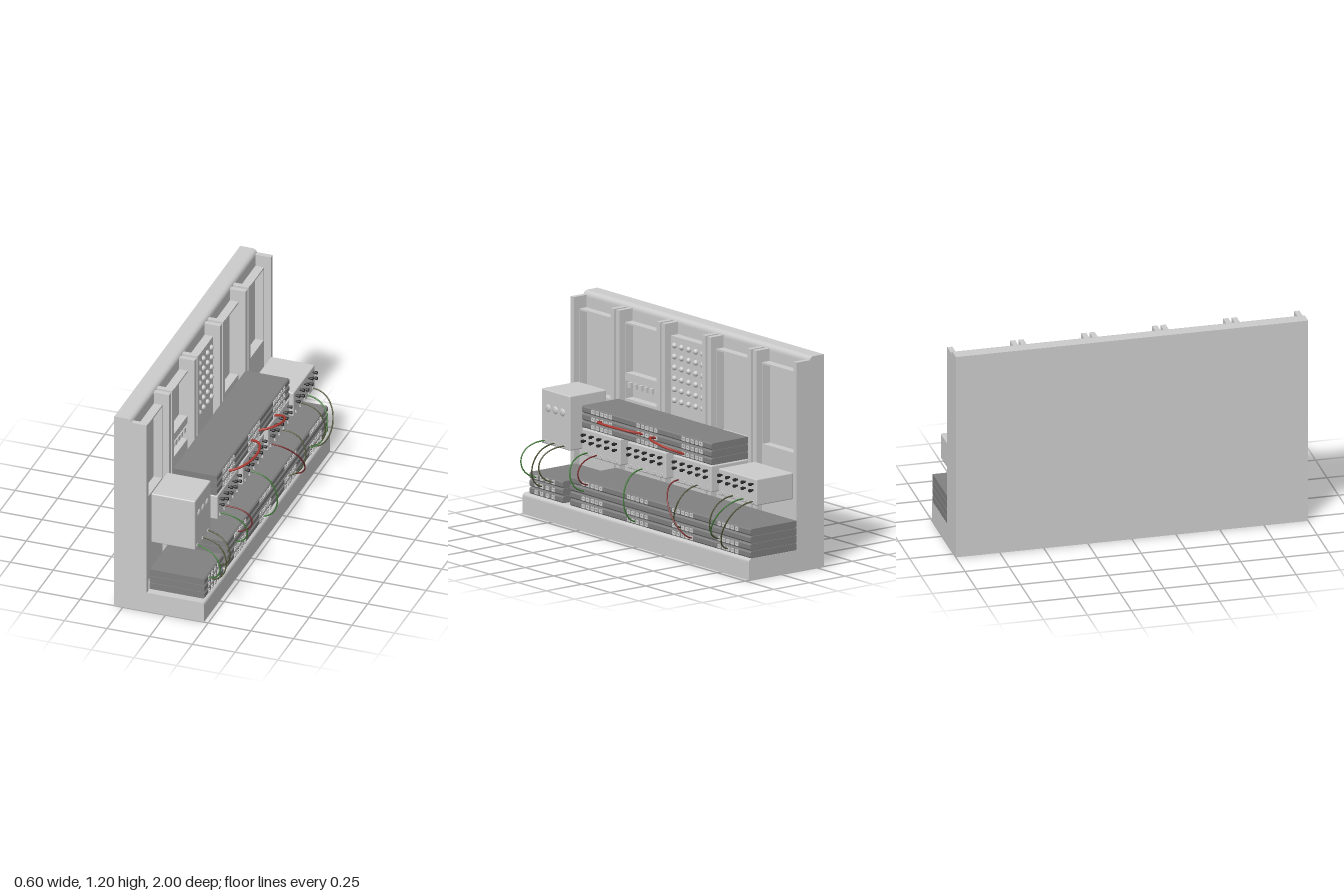
import * as THREE from 'three';
import { RoundedBoxGeometry } from 'three/addons/geometries/RoundedBoxGeometry.js';

export function createModel() {
  const root = new THREE.Group();
  root.name = 'equipmentConsole';
  const mat = (color) => new THREE.MeshStandardMaterial({ color });
  const grey = mat(0xcccccc), dark = mat(0x808080), black = mat(0x2a2a2a);
  const red = mat(0xb03c34), green = mat(0x3f7a36), darkRed = mat(0x7a2a2a), olive = mat(0x4c5434);

  const add = (name, geo, material, x = 0, y = 0, z = 0, parent = root) => {
    const m = new THREE.Mesh(geo, material);
    m.name = name;
    m.position.set(x, y, z);
    parent.add(m);
    return m;
  };
  // box given by its extents, rounded when r > 0
  const box = (name, x0, x1, y0, y1, z0, z1, material = grey, r = 0, parent = root) => {
    const s = [x1 - x0, y1 - y0, z1 - z0];
    const g = r ? new RoundedBoxGeometry(...s, 2, r) : new THREE.BoxGeometry(...s);
    return add(name, g, material, (x0 + x1) / 2, (y0 + y1) / 2, (z0 + z1) / 2, parent);
  };
  const group = (name) => {
    const g = new THREE.Group();
    g.name = name;
    root.add(g);
    return g;
  };
  const rectPath = (P, a, b, c, d) => {
    const p = new P();
    p.moveTo(a, c); p.lineTo(b, c); p.lineTo(b, d); p.lineTo(a, d); p.closePath();
    return p;
  };

  // L-shaped back wall and base with rounded front corners
  const L = new THREE.Shape();
  L.moveTo(-0.3, 0); L.lineTo(0.225, 0); L.lineTo(0.225, 0.1);
  L.quadraticCurveTo(0.225, 0.12, 0.203, 0.12);
  L.lineTo(-0.2, 0.12); L.lineTo(-0.2, 1.168);
  L.quadraticCurveTo(-0.2, 1.2, -0.235, 1.2);
  L.lineTo(-0.3, 1.2); L.closePath();
  add('wallAndBase', new THREE.ExtrudeGeometry(L, { depth: 2, bevelEnabled: false, curveSegments: 8 }), grey, 0, 0, -1);

  // five wall bays: two pillars and a face plate with recessed windows
  const windows = [[[0.65, 1.1]], [[0.825, 1.1], [0.68, 0.78]], [], [[0.65, 1.1]], [[0.65, 1.1]]];
  const bayZ = (i) => 0.807 - i * 0.4035;
  windows.forEach((list, i) => {
    const g = group('wallBay' + (i + 1)), c = bayZ(i), h = 0.193, w = 0.163;
    for (const s of [-1, 1]) {
      const a = c + s * h, b = c + s * w;
      box('pillar', -0.205, -0.11, 0.115, 1.18, Math.min(a, b), Math.max(a, b), grey, 0, g);
    }
    const shape = rectPath(THREE.Shape, -w, w, 0.115, 1.11);
    for (const [y0, y1] of list) shape.holes.push(rectPath(THREE.Path, -w + 0.005, w - 0.005, y0, y1));
    const geo = new THREE.ExtrudeGeometry(shape, { depth: 0.055, bevelEnabled: false });
    geo.rotateY(Math.PI / 2);
    add('facePlate', geo, grey, -0.205, 0, c, g);
  });

  // row of small tabs in the second bay
  const tabs = group('tabs');
  for (let i = 0; i < 6; i++) {
    const z = 0.525 - i * 0.0465;
    box('tab', -0.2, -0.145, 0.745, 0.775, z - 0.014, z + 0.014, grey, 0, tabs);
  }

  // grid of domed buttons in the third bay
  const buttons = group('buttonGrid');
  const dome = new THREE.SphereGeometry(0.016, 14, 10);
  for (let r = 0; r < 6; r++)
    for (let c = 0; c < 5; c++)
      add('button', dome, grey, -0.148, 1.06 - r * 0.062, 0.128 - c * 0.063, buttons);

  // flat rack units stacked with narrow gaps and a chamfered front
  const stack = (name, xf, y0, n, z0, z1) => {
    const g = group(name), p = 0.0425, c = 0.007, h = 0.038;
    const s = new THREE.Shape();
    s.moveTo(-0.11, 0); s.lineTo(xf - c, 0); s.lineTo(xf, c);
    s.lineTo(xf, h - c); s.lineTo(xf - c, h); s.lineTo(-0.11, h); s.closePath();
    const geo = new THREE.ExtrudeGeometry(s, { depth: z1 - z0, bevelEnabled: false });
    for (let i = 0; i < n; i++) {
      add('rackUnit', geo, dark, 0, y0 + i * p, z0, g);
      if (i) box('spacer', -0.105, xf - 0.012, y0 + i * p - 0.006, y0 + i * p + 0.001, z0 + 0.005, z1 - 0.005, dark, 0, g);
    }
    return g;
  };
  const smallRack = stack('smallRack', 0.213, 0.121, 3, 0.66, 0.955);
  const longRack = stack('longRack', 0.213, 0.121, 4, -1, 0.595);
  const upperRack = stack('upperRack', 0.146, 0.557, 3, -0.57, 0.577);

  // square jacks with a round hole
  const jackShape = rectPath(THREE.Shape, -0.013, 0.013, -0.011, 0.011);
  jackShape.holes.push(new THREE.Path().absarc(0, 0, 0.006, 0, Math.PI * 2, true));
  const jackGeo = new THREE.ExtrudeGeometry(jackShape, { depth: 0.006, bevelEnabled: false, curveSegments: 6 });
  jackGeo.rotateY(Math.PI / 2);
  const jacks = (parent, x, ys, z, n, step) => {
    for (const y of ys)
      for (let i = 0; i < n; i++) add('jack', jackGeo, grey, x - 0.001, y, z - i * step, parent);
  };
  jacks(smallRack, 0.213, [0.14, 0.1825, 0.225], 0.893, 4, 0.05);
  for (let k = 0; k < 4; k++) {
    const z = 0.475 - k * 0.4;
    jacks(longRack, 0.213, [0.14, 0.1825, 0.2675], z, 5, 0.0385);
    if (k < 3) jacks(upperRack, 0.146, [0.576, 0.6185, 0.661], z, 5, 0.0385);
  }

  // tall box with three round knobs and output sockets
  const socketGeo = new THREE.TorusGeometry(0.008, 0.0035, 6, 12).rotateY(Math.PI / 2);
  const tall = group('tallBox');
  box('casing', -0.11, 0.148, 0.403, 0.712, 0.68, 0.932, grey, 0.007, tall);
  for (const z of [0.872, 0.808, 0.745]) {
    add('knob', new THREE.SphereGeometry(0.023, 18, 12), grey, 0.146, 0.61, z, tall).scale.x = 0.45;
  }
  for (const z of [0.9, 0.815, 0.728]) add('socket', socketGeo, grey, 0.149, 0.42, z, tall);

  // four control boxes with two rows of switches and a row of sockets
  const stemGeo = new THREE.CylinderGeometry(0.006, 0.006, 0.026, 8).rotateZ(Math.PI / 2);
  const capGeo = new THREE.CylinderGeometry(0.009, 0.009, 0.014, 10).rotateZ(Math.PI / 2);
  for (let k = 0; k < 4; k++) {
    const g = group('controlBox' + (k + 1)), c = 0.405 - k * 0.402;
    box('casing', -0.11, 0.148, 0.403, 0.553, c - 0.169, c + 0.169, grey, 0.007, g);
    for (let i = 0; i < 5; i++) {
      const z = c + 0.137 - i * 0.0685;
      for (const y of [0.522, 0.487]) {
        add('switchStem', stemGeo, black, 0.158, y, z, g);
        add('switchCap', capGeo, black, 0.168, y, z, g);
      }
      add('socket', socketGeo, grey, 0.149, 0.42, z, g);
    }
  }

  // cables as cubic curves
  const cables = group('cables');
  const V = (x, y, z) => new THREE.Vector3(x, y, z);
  const cable = (material, r, a, b, c, d) =>
    add('cable', new THREE.TubeGeometry(new THREE.CubicBezierCurve3(a, b, c, d), 28, r, 7), material, 0, 0, 0, cables);
  const drops = [ // colour, upper z, lower z, lower y, sideways bow
    [green, 0.9, 0.893, 0.225, 0.045], [olive, 0.815, 0.843, 0.1825, 0], [olive, 0.728, 0.745, 0.225, 0.045],
    [green, 0.525, 0.475, 0.225, 0], [darkRed, 0.445, 0.436, 0.2675, -0.02],
    [green, 0.042, 0.02, 0.14, -0.01], [darkRed, -0.28, -0.483, 0.14, 0], [olive, -0.445, -0.38, 0.1825, -0.03],
    [olive, -0.76, -0.725, 0.1825, 0], [green, -0.85, -0.71, 0.1825, 0], [olive, -0.935, -0.8, 0.14, 0],
  ];
  for (const [m, z0, z1, y, bow] of drops)
    cable(m, 0.004, V(0.146, 0.422, z0), V(0.325, 0.425, z0 + bow), V(0.335, y + 0.02, z1 + bow), V(0.212, y, z1));
  cable(red, 0.007, V(0.146, 0.618, 0.398), V(0.28, 0.655, 0.37), V(0.28, 0.655, 0.07), V(0.146, 0.62, 0.042));
  cable(red, 0.007, V(0.146, 0.62, -0.075), V(0.28, 0.655, -0.09), V(0.28, 0.625, -0.31), V(0.146, 0.576, -0.33));

  return root;
}
